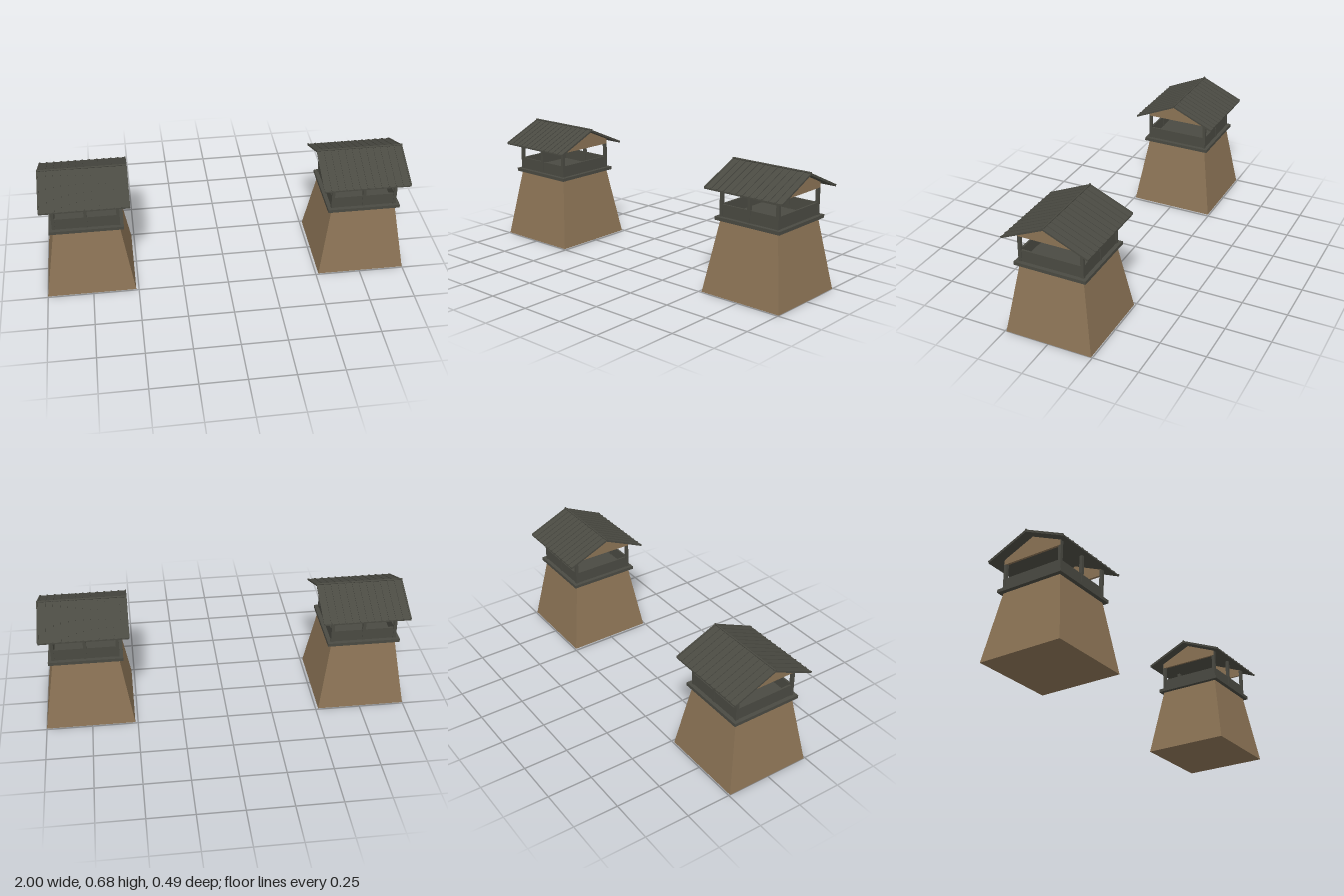
import * as THREE from 'three';

const earth = new THREE.MeshStandardMaterial({ color: 0x8b7355 });
earth.name = 'earth';
const timber = new THREE.MeshStandardMaterial({ color: 0x4a4a42 });
timber.name = 'dark timber';

function add(parent, name, geometry, material, x = 0, y = 0, z = 0) {
  const mesh = new THREE.Mesh(geometry, material);
  mesh.name = name;
  mesh.position.set(x, y, z);
  parent.add(mesh);
  return mesh;
}

// Outline given as [z, y] points, extruded along x and centred on x = 0
function extrudeX(points, width) {
  const shape = new THREE.Shape(points.map(([z, y]) => new THREE.Vector2(-z, y)));
  const geometry = new THREE.ExtrudeGeometry(shape, { depth: width, bevelEnabled: false });
  return geometry.translate(0, 0, -width / 2).rotateY(Math.PI / 2);
}

// Inverted V band from the ridge down to both eaves
function chevron(bottom, top, half, drop, width) {
  return extrudeX([
    [0, top], [half, top - drop], [half, bottom - drop],
    [0, bottom], [-half, bottom - drop], [-half, top - drop],
  ], width);
}

function createTower() {
  const tower = new THREE.Group();
  tower.name = 'watchtower';

  // Tapered square base
  const base = new THREE.BoxGeometry(1, 0.39, 1);
  const p = base.attributes.position;
  for (let i = 0; i < p.count; i++) {
    const size = p.getY(i) > 0 ? 0.356 : 0.485;
    p.setX(i, p.getX(i) * size);
    p.setZ(i, p.getZ(i) * size);
  }
  base.computeVertexNormals();
  add(tower, 'base', base, earth, 0, 0.195, 0);

  // Platform
  add(tower, 'platform', new THREE.BoxGeometry(0.4, 0.018, 0.4), timber, 0, 0.4, 0);

  // Posts and parapet walls
  for (const s of [-1, 1]) {
    for (const x of [-0.173, 0, 0.173]) {
      add(tower, 'post', new THREE.BoxGeometry(0.017, 0.173, 0.017), timber, x, 0.4935, s * 0.173);
    }
    add(tower, 'parapet', new THREE.BoxGeometry(0.346, 0.066, 0.01), timber, 0, 0.441, s * 0.173);
    add(tower, 'parapet', new THREE.BoxGeometry(0.01, 0.066, 0.346), timber, s * 0.173, 0.441, 0);

    // Gable wall
    const gable = extrudeX([
      [-0.178, 0.553], [0.178, 0.553], [0.178, 0.582], [0, 0.661], [-0.178, 0.582],
    ], 0.012);
    add(tower, 'gable', gable, earth, s * 0.177, 0, 0);
  }

  // Roof, raised battens and ridge pole
  add(tower, 'roof', chevron(0.66, 0.668, 0.238, 0.105, 0.476), timber);
  for (let i = 0; i <= 12; i++) {
    const batten = chevron(0.667, 0.672, 0.238, 0.105, 0.008);
    add(tower, 'roofBatten', batten, timber, (i - 6) * 0.0393, 0, 0);
  }
  const ridge = new THREE.CylinderGeometry(0.005, 0.005, 0.48, 8).rotateZ(Math.PI / 2);
  add(tower, 'ridgePole', ridge, timber, 0, 0.672, 0);
  return tower;
}

export function createModel() {
  const model = new THREE.Group();
  model.name = 'watchtowers';
  for (const s of [-1, 1]) {
    const tower = createTower();
    tower.position.x = s * 0.7575;
    model.add(tower);
  }
  return model;
}
